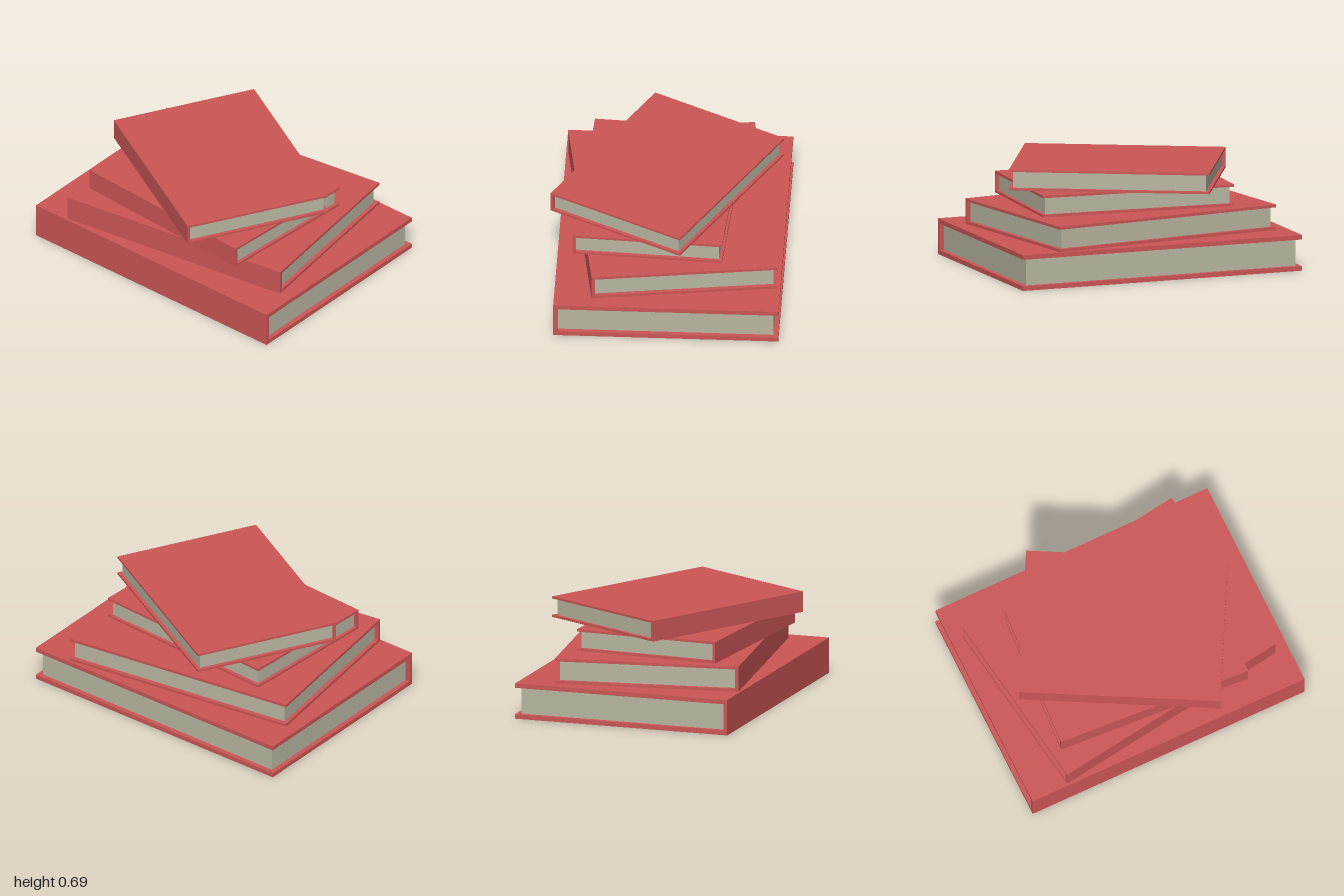
import * as THREE from 'three';

const coverMat = new THREE.MeshStandardMaterial({ color: 0xcc5555 });
const pageMat = new THREE.MeshStandardMaterial({ color: 0xb8b5a0 });

// One closed hardback, spine on -x, resting on y = 0
function makeBook({ w, d, h, board, spine, inset }) {
  const book = new THREE.Group();

  // C-shaped case: two boards joined by the spine
  const x = w / 2;
  const profile = new THREE.Shape([
    [-x, 0], [x, 0], [x, board], [-x + spine, board],
    [-x + spine, h - board], [x, h - board], [x, h], [-x, h],
  ].map(([px, py]) => new THREE.Vector2(px, py)));
  const caseGeo = new THREE.ExtrudeGeometry(profile, { depth: d, bevelEnabled: false });
  caseGeo.translate(0, 0, -d / 2);
  const cover = new THREE.Mesh(caseGeo, coverMat);
  cover.name = 'cover';

  // Page block, set back from the three open edges
  const pages = new THREE.Mesh(
    new THREE.BoxGeometry(w - spine - inset, h - 2 * board, d - 2 * inset), pageMat);
  pages.position.set((spine - inset) / 2, h / 2, 0);
  pages.name = 'pages';

  book.add(cover, pages);
  return book;
}

export function createModel() {
  const stack = new THREE.Group();
  stack.name = 'bookStack';

  // Bottom to top
  const books = [
    { name: 'bottomBook', w: 1.495, d: 2.0, h: 0.24, board: 0.03, spine: 0.027, inset: 0.033, x: 0.023, z: 0, turn: 0 },
    { name: 'secondBook', w: 1.242, d: 1.662, h: 0.17, board: 0.019, spine: 0.022, inset: 0.028, x: 0.023, z: -0.005, turn: 0.142 },
    { name: 'thirdBook', w: 0.997, d: 1.338, h: 0.145, board: 0.016, spine: 0.018, inset: 0.023, x: -0.075, z: 0, turn: -0.062 },
    { name: 'topBook', w: 1.0, d: 1.338, h: 0.14, board: 0.015, spine: 0.018, inset: 0.024, x: -0.015, z: 0.005, turn: -0.495 },
  ];

  let y = 0;
  for (const b of books) {
    const book = makeBook(b);
    book.name = b.name;
    book.position.set(b.x, y, b.z);
    book.rotation.y = b.turn;
    stack.add(book);
    y += b.h;
  }
  return stack;
}
